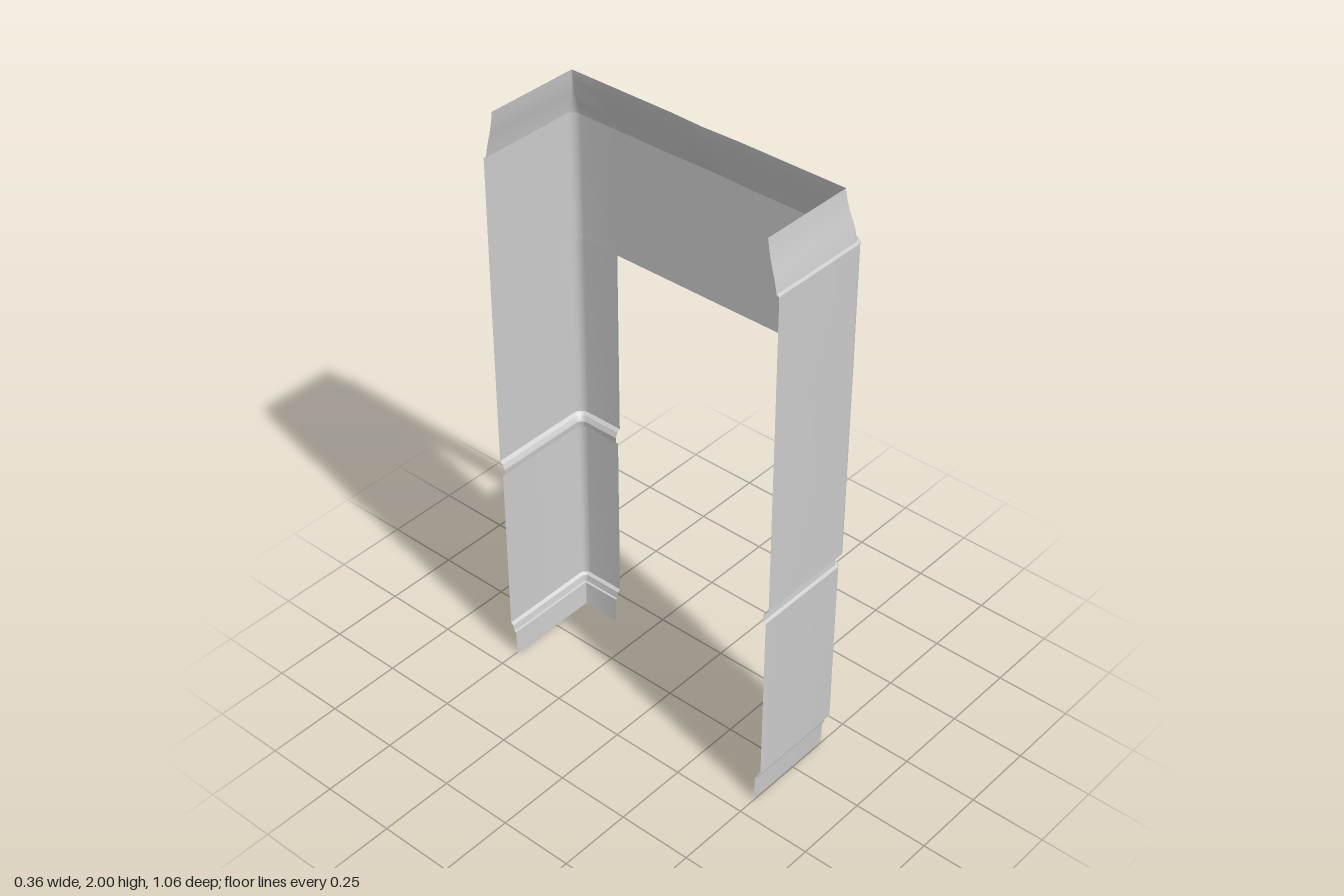
import * as THREE from 'three';
import { toCreasedNormals } from 'three/addons/utils/BufferGeometryUtils.js';

const X0 = -0.183, X1 = 0.18, Z1 = 0.531; // open edge, side wall, front/back walls
const LEG_EDGE = 0.364, OPENING_TOP = 1.41;

// Height, inset from the widest outline, corner radius
const legRows = [
  [0, 0.035, 0.004], [0.088, 0.032, 0.004],
  [0.09, 0.026, 0.012], [0.113, 0.022, 0.014], [0.12, 0.012, 0.025],
  [0.718, 0.01, 0.027], [0.724, 0.018, 0.022], [0.745, 0.02, 0.022],
  [0.762, 0.012, 0.026], [0.77, 0.001, 0.034], [OPENING_TOP, 0, 0.034],
];
const hoodRows = [
  [OPENING_TOP, 0, 0.034], [1.838, 0, 0.034], [1.842, 0.009, 0.026],
  [1.88, 0.016, 0.02], [1.92, 0.027, 0.012], [1.96, 0.036, 0.006], [2, 0.042, 0.002],
];

// Half of the outline: along the front wall, round the corner, along the side wall to zEnds
function halfOutline(inset, r, zEnds) {
  const x = X1 - inset, z = Z1 - inset, pts = [[X0, z]];
  for (let i = 0; i <= 6; i++) {
    const a = (i / 6) * Math.PI / 2;
    pts.push([x - r + r * Math.sin(a), z - r + r * Math.cos(a)]);
  }
  for (const e of zEnds) pts.push([x, e]);
  return pts;
}

// Skin a sheet through one outline per row
function sheet(rows, outline) {
  const pos = [], index = [];
  let n = 0;
  for (const row of rows) {
    const pts = outline(row);
    n = pts.length;
    for (const [x, z] of pts) pos.push(x, row[0], z);
  }
  for (let j = 0; j < rows.length - 1; j++) {
    for (let i = 0; i < n - 1; i++) {
      const a = j * n + i, b = a + n;
      index.push(a, a + 1, b + 1, a, b + 1, b);
    }
  }
  const g = new THREE.BufferGeometry();
  g.setAttribute('position', new THREE.Float32BufferAttribute(pos, 3));
  g.setIndex(index);
  return toCreasedNormals(g, 0.5);
}

export function createModel() {
  const group = new THREE.Group();
  const material = new THREE.MeshStandardMaterial({ color: 0xcccccc, side: THREE.DoubleSide });
  const add = (name, geometry) => {
    const mesh = new THREE.Mesh(geometry, material);
    mesh.name = name;
    group.add(mesh);
  };

  // Two angle-section legs with a groove and a stepped foot
  const legHalf = ([, inset, r]) => halfOutline(inset, r, [LEG_EDGE]);
  add('frontLeg', sheet(legRows, legHalf));
  add('backLeg', sheet(legRows, (row) => legHalf(row).map(([x, z]) => [x, -z]).reverse()));

  // U-shaped upper panel with its necked-in rim; the side wall bows in slightly at the middle
  add('upperPanel', sheet(hoodRows, ([y, inset, r]) => {
    const half = halfOutline(inset, r, [LEG_EDGE, 0.24, 0.12]);
    const bow = y > 1.9 ? 0.004 : 0;
    const smooth = y === 1.842 ? 0.006 : 0;
    return [
      ...half,
      [X1 - inset - bow + smooth, 0],
      ...half.map(([x, z]) => [x, -z]).reverse(),
    ];
  }));
  return group;
}
